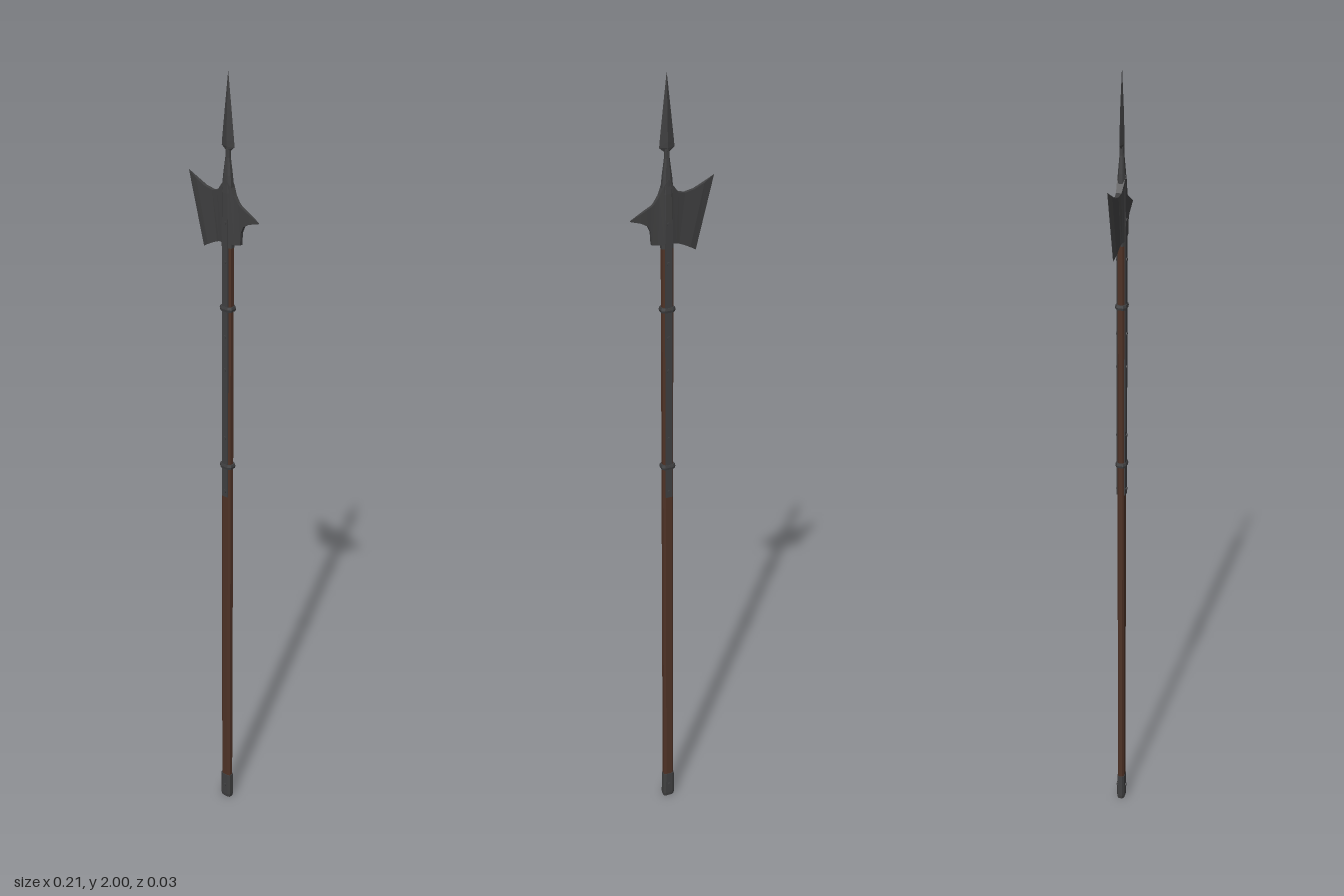
import * as THREE from 'three';

const CX = 0.011; // pole axis

// Skin a list of equal-length rings, counter-clockwise seen from the end they run to
function loft(rings) {
  const n = rings[0].length, pos = [];
  const tri = (a, b, c) => pos.push(...a, ...b, ...c);
  for (let i = 0; i < rings.length - 1; i++) {
    for (let j = 0; j < n; j++) {
      const k = (j + 1) % n, lo = rings[i], hi = rings[i + 1];
      tri(lo[j], lo[k], hi[k]);
      tri(lo[j], hi[k], hi[j]);
    }
  }
  const first = rings[0], last = rings[rings.length - 1];
  for (let j = 1; j < n - 1; j++) {
    tri(first[0], first[j + 1], first[j]);
    tri(last[0], last[j], last[j + 1]);
  }
  const g = new THREE.BufferGeometry();
  g.setAttribute('position', new THREE.Float32BufferAttribute(pos, 3));
  g.computeVertexNormals();
  return g;
}

// Upright chamfered pole from [y, half width, half depth] sections
function pole(sections, chamfer = 0.35) {
  return loft(sections.map(([y, w, d]) => {
    const c = 1 - 2 * chamfer;
    const q = [[1, c], [1, -c], [c, -1], [-c, -1], [-1, -c], [-1, c], [-c, 1], [c, 1]];
    return q.map(([x, z]) => [x * w, y, z * d]);
  }));
}

// Upright diamond from [y, half width, half depth] sections
function diamond(sections) {
  return loft(sections.map(([y, w, d]) => [[w, y, 0], [0, y, -d], [-w, y, 0], [0, y, d]]));
}

// Plate from slanted sections [top x, top y, bottom x, bottom y, half thickness]
function plate(sections) {
  return loft(sections.map(([tx, ty, bx, by, t]) =>
    [[bx, by, -t], [tx, ty, -t], [tx, ty, t], [bx, by, t]]));
}

export function createModel() {
  const wood = new THREE.MeshStandardMaterial({ name: 'dark wood', color: 0x4e3226 });
  const steel = new THREE.MeshStandardMaterial({ name: 'dark steel', color: 0x3f3f40 });
  const model = new THREE.Group();
  model.name = 'halberd';

  const add = (name, geometry, material, x = CX, y = 0, z = 0) => {
    const mesh = new THREE.Mesh(geometry, material);
    mesh.name = name;
    mesh.position.set(x, y, z);
    model.add(mesh);
    return mesh;
  };

  // Pole and its foot
  add('shaft', pole([[0.03, 0.0135, 0.0085], [1.64, 0.0135, 0.0085]], 0.2), wood);
  add('ferrule', pole([[0, 0.0145, 0.009], [0.01, 0.016, 0.0102], [0.075, 0.015, 0.0098]], 0.2), steel);

  // Long straps down the front and back of the shaft
  for (const s of [1, -1]) {
    const strap = new THREE.BoxGeometry(0.017, 0.72, 0.003);
    add('langet', strap, steel, CX, 1.31, s * 0.0095);
  }

  // Bands around the straps
  for (const y of [1.45, 1.035]) {
    add('band', pole([[y - 0.006, 0.0165, 0.0125], [y, 0.018, 0.0138], [y + 0.006, 0.0165, 0.0125]], 0.2), steel);
  }

  // Rivets through the straps and ferrule
  for (const y of [0.04, 0.966, 1.114, 1.295, 1.38, 1.565, 1.66]) {
    const rivet = new THREE.CylinderGeometry(0.0045, 0.0045, 0.0265, 8).rotateX(Math.PI / 2);
    add('rivet', rivet, steel, CX, y);
  }

  // Socket tapering to the neck below the spear point
  add('socket', pole([
    [1.6, 0.0145, 0.0105], [1.66, 0.0145, 0.0112], [1.73, 0.0145, 0.0105],
    [1.77, 0.011, 0.008], [1.81, 0.006, 0.005], [1.84, 0.0055, 0.0045],
  ], 0.25), steel);

  // Spear point
  add('spearPoint', diamond([
    [1.826, 0.008, 0.005], [1.835, 0.0185, 0.006], [1.848, 0.0175, 0.006],
    [1.92, 0.0095, 0.004], [2.0, 0.0004, 0.0004],
  ]), steel);

  // Axe blade with a ground cutting edge
  add('axeBlade', plate([
    [-0.105, 1.758, -0.061, 1.585, 0.0004],
    [-0.08, 1.743, -0.046, 1.594, 0.004],
    [-0.055, 1.731, -0.03, 1.602, 0.0042],
    [-0.032, 1.726, -0.018, 1.607, 0.0045],
    [-0.015, 1.73, -0.01, 1.61, 0.0065],
    [0.0, 1.75, 0.0, 1.611, 0.0088],
    [0.011, 1.765, 0.011, 1.611, 0.0095],
  ]), steel, 0);

  // Hooked back spike
  add('backSpike', plate([
    [0.011, 1.765, 0.011, 1.611, 0.0095],
    [0.022, 1.748, 0.022, 1.611, 0.0088],
    [0.032, 1.726, 0.036, 1.611, 0.0055],
    [0.043, 1.71, 0.05, 1.613, 0.0042],
    [0.05, 1.704, 0.052, 1.643, 0.004],
    [0.061, 1.698, 0.059, 1.659, 0.004],
    [0.076, 1.69, 0.075, 1.668, 0.0035],
    [0.101, 1.677, 0.101, 1.675, 0.0004],
  ]), steel, 0);

  return model;
}
